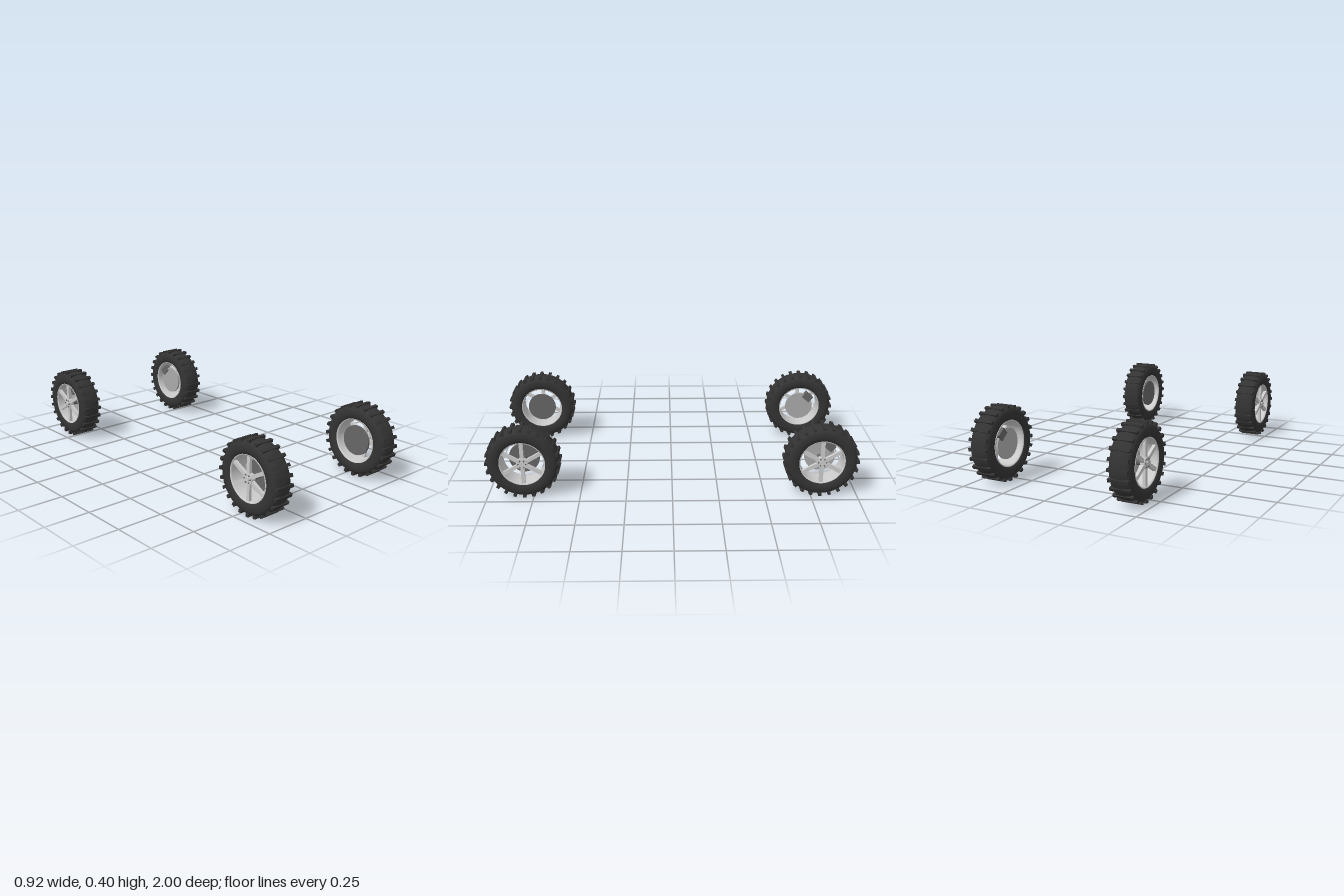
import * as THREE from 'three';

const material = (color, extra = {}) => new THREE.MeshStandardMaterial({ color, ...extra });
const rubber = material(0x333333);
const metal = material(0xcccccc);
const darkMetal = material(0x666666);
const brakeMetal = material(0xaaaaaa);
const barrelMetal = material(0xcccccc, { side: THREE.DoubleSide });

function add(parent, name, geometry, mat) {
  const mesh = new THREE.Mesh(geometry, mat);
  mesh.name = name;
  parent.add(mesh);
  return mesh;
}

// Profile of [radius, x] pairs turned about the axle (x axis)
function turned(profile) {
  const points = profile.map(([r, x]) => new THREE.Vector2(r, x));
  return new THREE.LatheGeometry(points, 64).rotateZ(-Math.PI / 2);
}

// Solid disc or drum lying along the axle
function drum(radius, width, x, sides = 40) {
  return new THREE.CylinderGeometry(radius, radius, width, sides).rotateZ(-Math.PI / 2).translate(x, 0, 0);
}

// One wheel with its outer face toward +x
function createWheel(name, side, isRear) {
  const wheel = new THREE.Group();
  wheel.name = name;

  // Tyre with rounded crown and bulging sidewalls
  add(wheel, 'tyre', turned([
    [0.12, -0.046], [0.126, -0.053], [0.14, -0.059], [0.155, -0.06], [0.17, -0.058],
    [0.18, -0.053], [0.187, -0.044], [0.193, -0.028], [0.196, 0],
    [0.193, 0.028], [0.187, 0.044], [0.18, 0.053], [0.17, 0.058],
    [0.155, 0.06], [0.14, 0.059], [0.126, 0.053], [0.12, 0.046], [0.12, -0.046],
  ]), rubber);

  // Tread bars around the crown
  for (let i = 0; i < 24; i++) {
    const bar = add(wheel, 'treadBar', new THREE.BoxGeometry(0.11, 0.016, 0.017).translate(0, 0.192, 0), rubber);
    bar.rotation.x = (i / 24) * Math.PI * 2;
  }

  // Open rim barrel with a lip at each end
  add(wheel, 'rimBarrel', turned([
    [0.124, -0.054], [0.118, -0.054], [0.116, -0.046], [0.116, 0.046], [0.118, 0.054], [0.124, 0.054],
  ]), barrelMetal);

  // Six spokes meeting at the hub
  for (let i = 0; i < 6; i++) {
    const spoke = add(wheel, 'spoke', new THREE.BoxGeometry(0.016, 0.1, 0.02).translate(0.042, 0.067, 0), metal);
    spoke.rotation.x = (i / 6) * Math.PI * 2;
  }
  add(wheel, 'hub', drum(0.03, 0.024, 0.042, 24), metal);
  add(wheel, 'hubCap', drum(0.012, 0.006, 0.056, 16), metal);
  for (let i = 0; i < 6; i++) {
    const a = ((i + 0.5) / 6) * Math.PI * 2;
    add(wheel, 'wheelNut', drum(0.004, 0.005, 0.056, 6).translate(0, 0.021 * Math.cos(a), 0.021 * Math.sin(a)), darkMetal);
  }

  // Brake disc toward the inner side, with axle stub
  add(wheel, 'brakeDisc', drum(0.083, 0.012, -0.035), isRear ? brakeMetal : darkMetal);
  add(wheel, 'axleStub', drum(0.016, 0.065, 0, 20), darkMetal);

  // Caliper gripping the upper rearward edge of the rear discs
  if (isRear) {
    const caliper = add(wheel, 'brakeCaliper', new THREE.BoxGeometry(0.034, 0.042, 0.055).translate(-0.035, 0.078, 0), darkMetal);
    caliper.rotation.x = -side * 0.7;
  }
  return wheel;
}

export function createModel() {
  const model = new THREE.Group();
  model.name = 'wheelSet';
  for (const side of [1, -1]) {
    for (const end of [1, -1]) {
      const name = (end > 0 ? 'front' : 'rear') + (side > 0 ? 'LeftWheel' : 'RightWheel');
      const wheel = createWheel(name, side, end < 0);
      wheel.position.set(side * 0.4, 0.2, end * 0.8);
      if (side < 0) wheel.rotation.y = Math.PI;
      model.add(wheel);
    }
  }
  return model;
}
